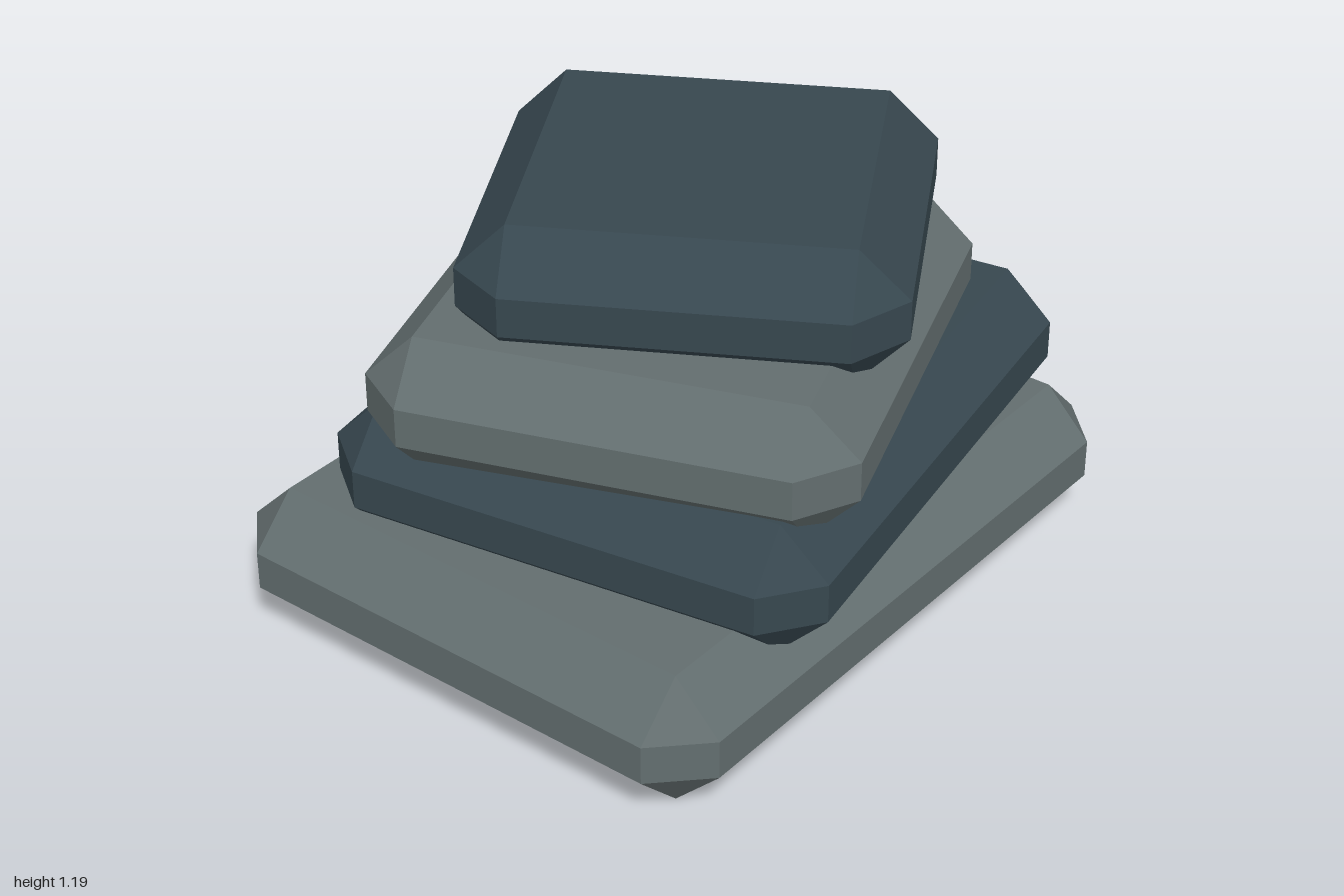
import * as THREE from 'three';
import { ConvexGeometry } from 'three/addons/geometries/ConvexGeometry.js';

// Box with chamfered edges and triangular corners, centred on the origin
function chamferedSlab(a, h, b, c) {
  const points = [];
  for (const x of [-1, 1]) for (const y of [-1, 1]) for (const z of [-1, 1]) {
    points.push(
      new THREE.Vector3(x * a, y * (h - c), z * (b - c)),
      new THREE.Vector3(x * (a - c), y * h, z * (b - c)),
      new THREE.Vector3(x * (a - c), y * (h - c), z * b)
    );
  }
  return new ConvexGeometry(points);
}

export function createModel() {
  const group = new THREE.Group();
  group.name = 'stackedStones';

  const lightStone = new THREE.MeshStandardMaterial({ color: 0x636e6f, flatShading: true });
  lightStone.name = 'lightStone';
  const darkStone = new THREE.MeshStandardMaterial({ color: 0x37474f, flatShading: true });
  darkStone.name = 'darkStone';

  // Each slab: half width, half depth, x offset; every one turns 10 degrees further
  const slabs = [
    ['baseSlab', 0.965, 0.78, -0.035, lightStone],
    ['lowerSlab', 0.834, 0.714, 0.073, darkStone],
    ['upperSlab', 0.698, 0.651, -0.033, lightStone],
    ['topSlab', 0.568, 0.575, 0.073, darkStone],
  ];
  slabs.forEach(([name, a, b, x, material], i) => {
    const slab = new THREE.Mesh(chamferedSlab(a, 0.19, b, 0.135), material);
    slab.name = name;
    slab.position.set(x, 0.19 + i * 0.269, 0);
    slab.rotation.y = THREE.MathUtils.degToRad(10 * i);
    group.add(slab);
  });

  return group;
}
